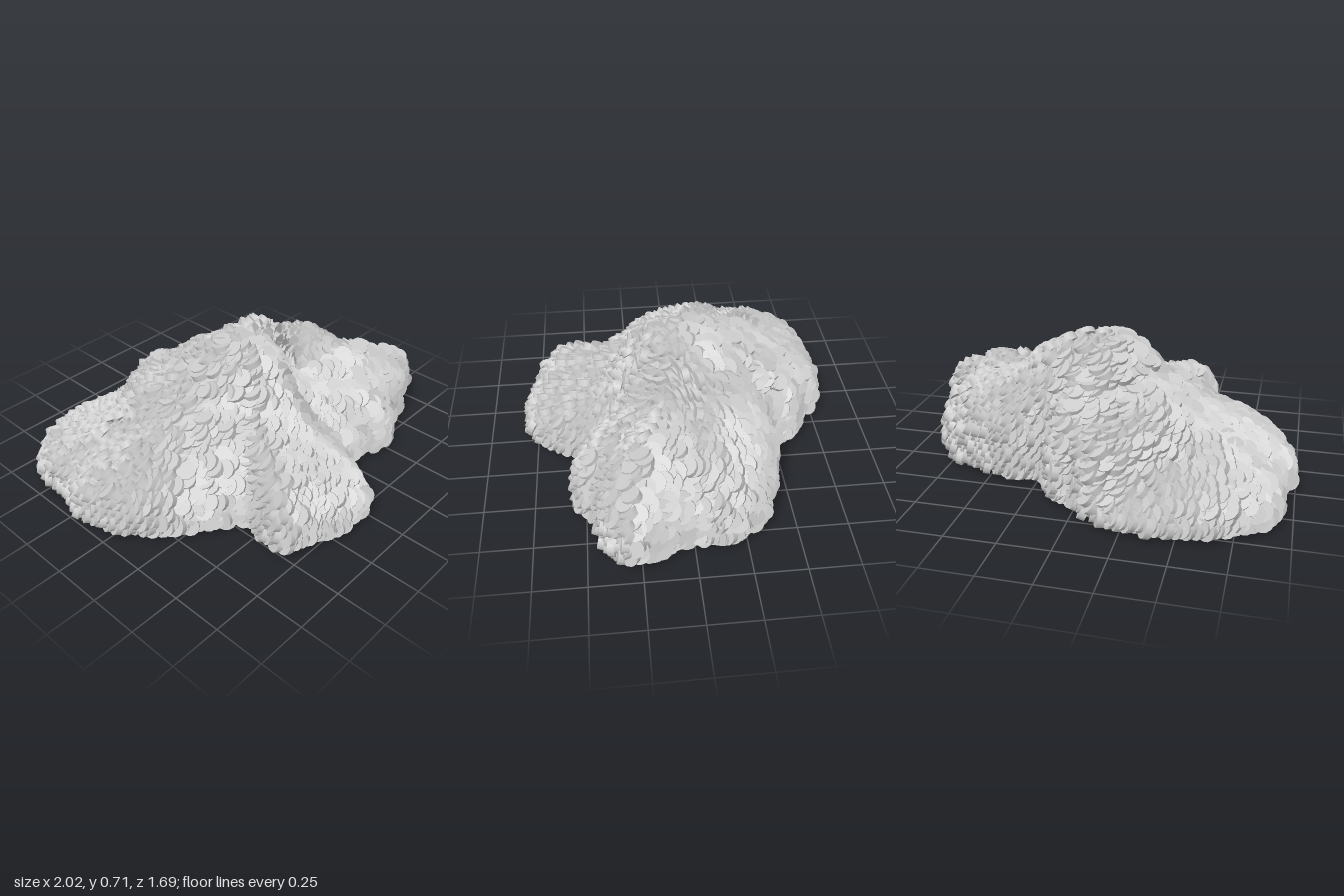
import * as THREE from 'three';
import { mergeGeometries } from 'three/addons/utils/BufferGeometryUtils.js';

// Ground outline of the shell, as x, z pairs
const OUTLINE = [
  -0.3, -0.83, -0.1, -0.77, 0.0, -0.68, 0.12, -0.64, 0.2, -0.48, 0.45, -0.45, 0.6, -0.4, 0.76, -0.32,
  0.85, -0.18, 0.84, 0.02, 0.9, 0.17, 1.0, 0.33, 0.88, 0.41, 0.65, 0.48, 0.52, 0.57, 0.38, 0.53,
  0.2, 0.54, 0.1, 0.68, 0, 0.8, -0.15, 0.82, -0.35, 0.76, -0.5, 0.68, -0.49, 0.45, -0.62, 0.34,
  -0.86, 0.15, -0.97, -0.05, -1, -0.2, -0.94, -0.4, -0.94, -0.57, -0.8, -0.73, -0.6, -0.81];

// Hills and hollows: x, z, height
const RELIEF = [
  [0.04, 0, 0.7], [0.12, -0.06, 0.7], [0, 0.15, 0.64], [0.2, -0.12, 0.67], [0.04, -0.2, 0.65],
  [-0.1, 0, 0.63], [0.19, 0.12, 0.33], [0.32, 0.08, 0.37], [0.06, -0.3, 0.56],
  [0.5, -0.2, 0.53], [0.7, -0.08, 0.53], [0.62, 0.2, 0.52], [0.84, 0.27, 0.48], [0.45, 0.08, 0.46],
  [0.38, -0.33, 0.52], [0.5, 0.42, 0.45], [0.34, 0.34, 0.38], [0.14, 0.46, 0.2], [0.1, 0.32, 0.36],
  [-0.36, 0.62, 0.45], [-0.36, 0.45, 0.41], [-0.18, 0.57, 0.32], [-0.2, 0.73, 0.33], [0, 0.68, 0.23],
  [-0.05, 0.45, 0.28], [-0.15, 0.3, 0.43], [-0.38, 0.05, 0.46], [-0.6, -0.3, 0.36], [-0.6, 0.08, 0.35],
  [-0.85, -0.2, 0.33], [-0.8, -0.5, 0.29], [-0.5, -0.6, 0.27], [-0.3, -0.75, 0.18], [-0.3, -0.3, 0.48],
  [0.02, -0.56, 0.53], [0.1, -0.42, 0.52], [-0.17, -0.5, 0.43]];

function relief(x, z) {
  let sum = 0, weight = 1e-9;
  for (const [px, pz, h] of RELIEF) {
    const w = Math.exp(-((x - px) ** 2 + (z - pz) ** 2) / 0.019) + 1e-7;
    sum += w * h;
    weight += w;
  }
  return sum / weight;
}

// Shell surface: u runs from the middle (0) to the rim (1), edge is an outline point
function surface(edge, u, target) {
  const s = Math.sin(u * Math.PI / 2) * (1 - 0.042 / edge.length());
  const x = edge.x * s, z = edge.z * s;
  const base = 0.05 + 0.11 * Math.exp(-((x - 0.97) ** 2 + (z - 0.32) ** 2) / 0.02);
  const rim = Math.pow(Math.max(Math.cos(u * Math.PI / 2), 0), 0.6);
  return target.set(x, base + (relief(x, z) - base) * rim, z);
}

function makeRandom(seed) {
  return () => {
    seed = (seed * 16807) % 2147483647;
    return seed / 2147483647;
  };
}

// Evenly spaced spots on the shell, each with its outward normal and downhill direction
function scatter(spacing) {
  const points = [];
  for (let i = 0; i < OUTLINE.length; i += 2) points.push(new THREE.Vector3(OUTLINE[i], 0, OUTLINE[i + 1]));
  const around = 260, rows = 120, spots = [];
  const edges = new THREE.CatmullRomCurve3(points, true).getSpacedPoints(around);
  const p = new THREE.Vector3(), inward = new THREE.Vector3(), side = new THREE.Vector3();
  for (let j = 0; j < rows; j++) {
    const u = 1 - (j / rows) ** 1.6;
    for (let i = 0; i < around; i++) {
      surface(edges[i], u, p);
      if (spots.some((o) => o.position.distanceToSquared(p) < spacing * spacing)) continue;
      surface(edges[i], u - 0.01, inward).sub(p);
      surface(edges[i + 1], u, side).sub(p).normalize();
      const normal = new THREE.Vector3().crossVectors(inward, side).normalize();
      if (normal.y < 0) normal.negate();
      spots.push({ position: p.clone(), normal, side: side.clone() });
    }
  }
  return spots;
}

export function createModel() {
  const group = new THREE.Group();
  group.name = 'discMound';
  const random = makeRandom(4217);
  const jitter = (amount) => (random() - 0.5) * amount;
  const disc = new THREE.CylinderGeometry(0.05, 0.05, 0.034, 12);
  const up = new THREE.Vector3(0, 1, 0);
  const turn = new THREE.Quaternion(), matrix = new THREE.Matrix4(), size = new THREE.Vector3();

  // Overlapping discs, tilted like shingles and slightly uneven
  const discs = scatter(0.036).slice(0, 3000).map(({ position, normal, side }) => {
    const lean = 0.7 + 0.4 * Math.sin(position.x * 5 + position.z * 4);
    const axis = normal.clone().addScaledVector(up, 0.3).addScaledVector(side, lean);
    axis.x += jitter(0.7);
    axis.y += jitter(0.4);
    axis.z += jitter(0.7);
    turn.setFromUnitVectors(up, axis.normalize());
    const k = 0.85 + random() * 0.2;
    position.addScaledVector(normal, jitter(0.03));
    position.y = Math.max(position.y, 0.017 + 0.05 * Math.sqrt(1 - axis.y * axis.y));
    return disc.clone().applyMatrix4(matrix.compose(position, turn, size.set(k, 1, k)));
  });

  const mesh = new THREE.Mesh(mergeGeometries(discs), new THREE.MeshStandardMaterial({ color: 0xcccccc }));
  mesh.name = 'discShell';
  group.add(mesh);
  return group;
}
